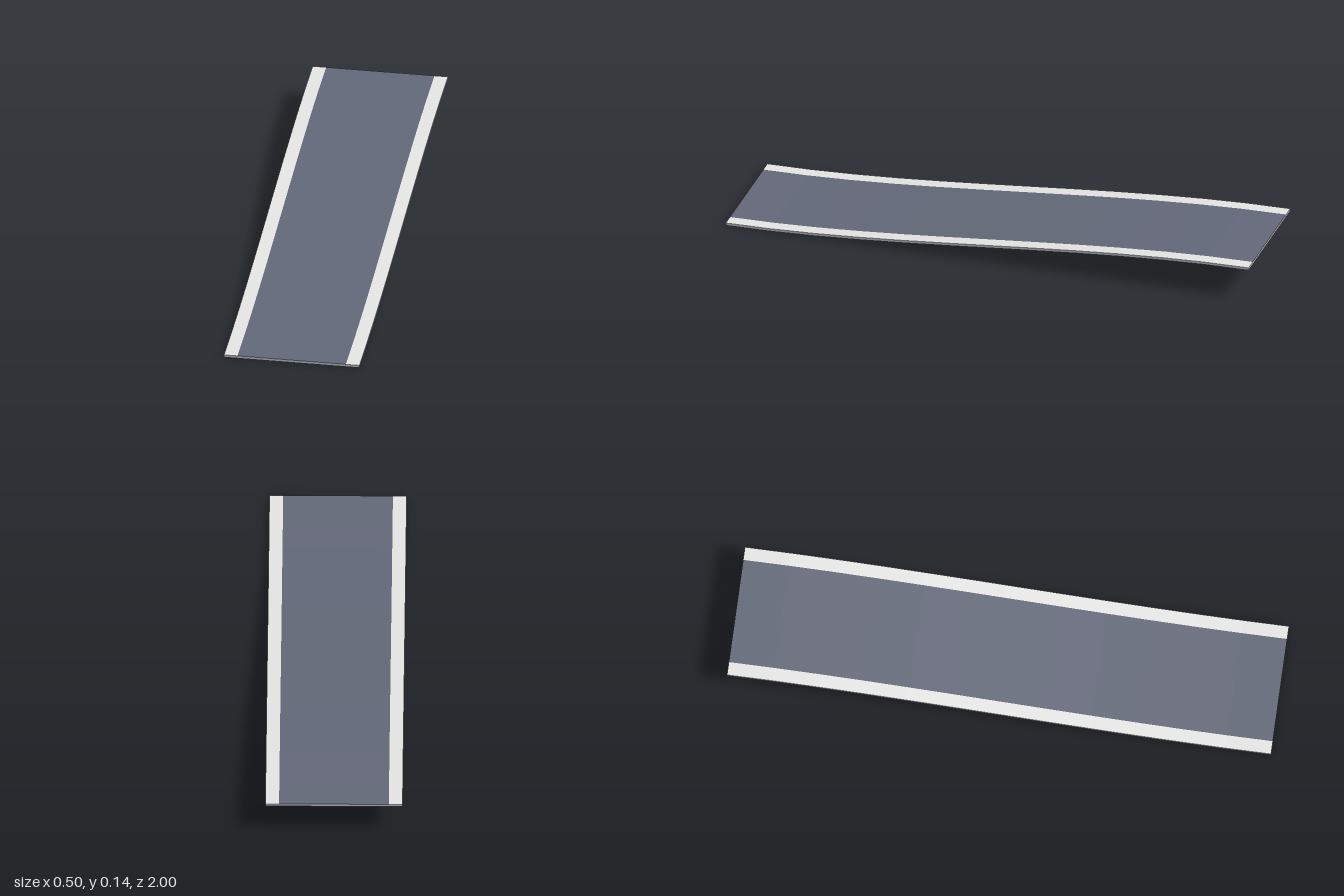
import * as THREE from 'three';

const WIDTH = 0.5, ROAD = 0.4, LENGTH = 2, THICK = 0.01, RISE = 0.125, STEPS = 12;

// Height of the underside: a smooth S from the front end up to the back end
function heightAt(z) {
  const t = THREE.MathUtils.clamp(0.5 - z / LENGTH, 0, 1);
  return RISE * t * t * (3 - 2 * t);
}

// Lift every vertex onto the S curve and give each segment flat normals
function bend(geometry) {
  const p = geometry.attributes.position;
  for (let i = 0; i < p.count; i++) p.setY(i, p.getY(i) + heightAt(p.getZ(i)));
  const flat = geometry.toNonIndexed();
  flat.clearGroups();
  flat.computeVertexNormals();
  return flat;
}

// A strip of the upper surface
function topStrip(width, x) {
  return bend(new THREE.PlaneGeometry(width, LENGTH, 1, STEPS).rotateX(-Math.PI / 2).translate(x, THICK, 0));
}

// The thin slab: underside, sides and ends, without its upper face
function slabShell() {
  const box = new THREE.BoxGeometry(WIDTH, THICK, LENGTH, 1, 1, STEPS).translate(0, THICK / 2, 0);
  const top = box.groups[2];
  box.setIndex(Array.from(box.index.array).filter((_, i) => i < top.start || i >= top.start + top.count));
  return bend(box);
}

export function createModel() {
  const group = new THREE.Group();
  group.name = 'roadRamp';

  const material = (name, color) => {
    const m = new THREE.MeshStandardMaterial({ color });
    m.name = name;
    return m;
  };
  const asphalt = material('asphalt', 0x636879);
  const kerbGrey = material('kerbGrey', 0xe5e5e4);
  const slabGrey = material('slabGrey', 0xb4b3c0);

  const add = (name, geometry, mat) => {
    const mesh = new THREE.Mesh(geometry, mat);
    mesh.name = name;
    group.add(mesh);
  };

  add('slab', slabShell(), slabGrey);
  add('roadSurface', topStrip(ROAD, 0), asphalt);

  // Pale borders along both edges
  const border = (WIDTH - ROAD) / 2;
  for (const [name, side] of [['leftBorder', 1], ['rightBorder', -1]]) {
    add(name, topStrip(border, side * (ROAD + border) / 2), kerbGrey);
  }
  return group;
}
